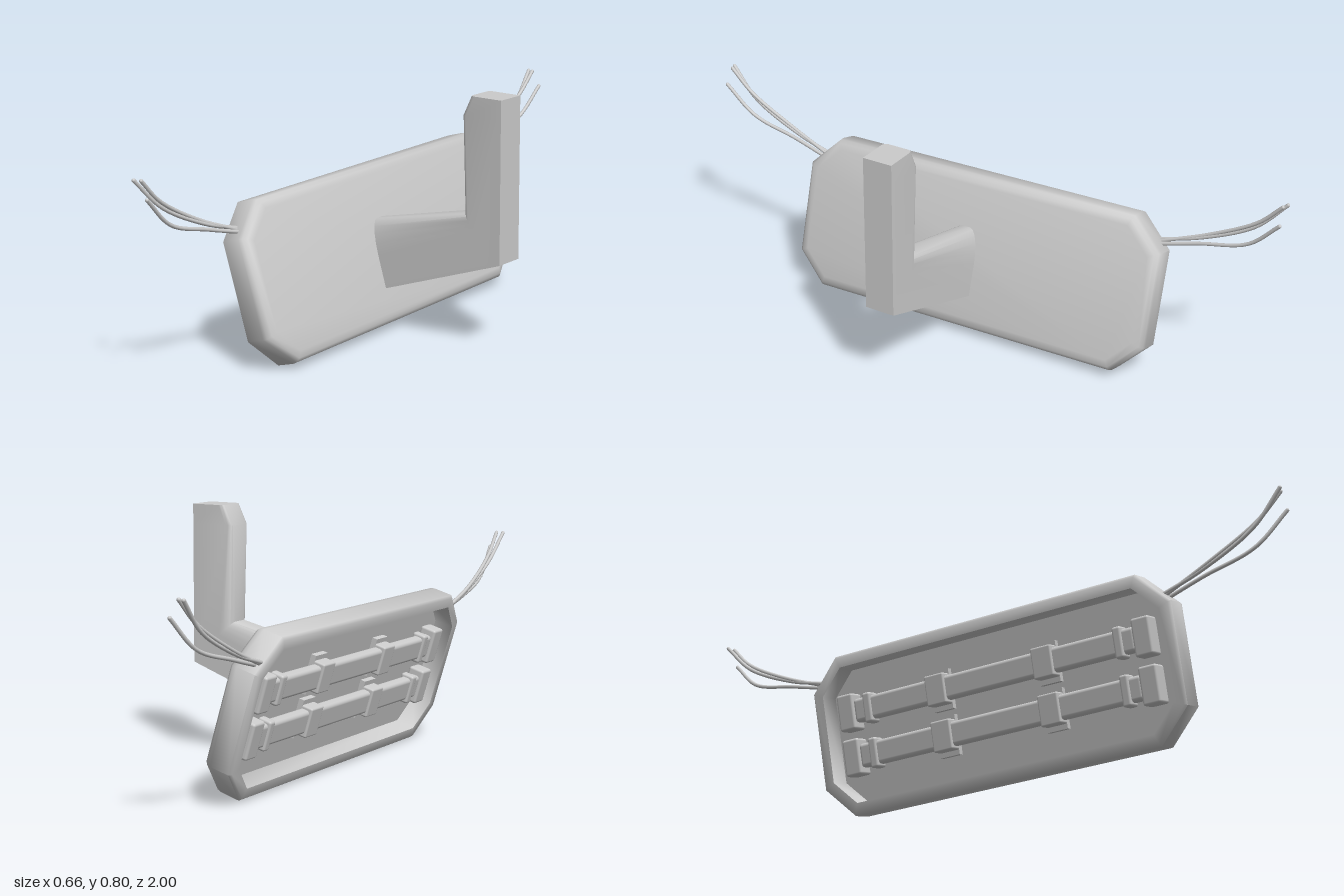
import * as THREE from 'three';
import { toCreasedNormals } from 'three/addons/utils/BufferGeometryUtils.js';
import { RoundedBoxGeometry } from 'three/addons/geometries/RoundedBoxGeometry.js';

const material = new THREE.MeshStandardMaterial({ color: 0xcccccc });

function part(name, geometry, parent, x = 0, y = 0, z = 0) {
  const mesh = new THREE.Mesh(geometry, material);
  mesh.name = name;
  mesh.position.set(x, y, z);
  parent.add(mesh);
  return mesh;
}

// Skin a list of equal-length rings of points and close both ends.
function loft(rings, crease) {
  const n = rings[0].length;
  const index = [];
  for (let k = 0; k < rings.length - 1; k++) {
    for (let i = 0; i < n; i++) {
      const j = (i + 1) % n;
      const a = k * n + i, b = k * n + j;
      index.push(a, b, b + n, a, b + n, a + n);
    }
  }
  const last = (rings.length - 1) * n;
  for (let i = 1; i < n - 1; i++) {
    index.push(0, i + 1, i, last, last + i, last + i + 1);
  }
  const geometry = new THREE.BufferGeometry().setFromPoints(rings.flat());
  geometry.setIndex(index);
  return toCreasedNormals(geometry, crease);
}

// Long octagon, shrunk by an inset, at a given depth.
function octagon(inset, depth) {
  const a = 0.635 - inset, v = 0.253 - inset, c = 0.1 - 0.586 * inset;
  return [
    [-a + c, -v], [a - c, -v], [a, -v + c], [a, v - c],
    [a - c, v], [-a + c, v], [-a, v - c], [-a, -v + c],
  ].map(([x, y]) => new THREE.Vector3(x, y, depth));
}

// Arm section: flat outer side, inner side rounded from fraction c inward.
function armSection({ outer, inner, c, end }) {
  const half = 0.049, zMid = 0.024, steps = 5;
  const side = [[0, 1]];
  for (let i = 0; i <= steps; i++) {
    const t = (i / steps) * Math.PI / 2;
    side.push([c + (1 - c) * Math.sin(t), end + (1 - end) * Math.cos(t)]);
  }
  const outline = [...side.map(([s, w]) => [s, -w]), ...side.reverse()];
  return outline.map(([s, w]) => new THREE.Vector3(
    outer[0] + (inner[0] - outer[0]) * s,
    outer[1] + (inner[1] - outer[1]) * s,
    zMid + w * half));
}

export function createModel() {
  const model = new THREE.Group();
  model.name = 'wallLamp';

  // Tilted lamp panel; inside "face", x runs along its length and z points out.
  const panel = new THREE.Group();
  panel.name = 'lampPanel';
  panel.position.set(-0.195, 0.265, 0);
  panel.rotation.set(0.006, 0.024, 0.288);
  model.add(panel);
  const face = new THREE.Group();
  face.name = 'panelFace';
  face.rotation.y = -Math.PI / 2;
  panel.add(face);

  // Housing: rounded back, flat rim and recessed floor.
  part('housing', loft([
    octagon(0.035, -0.05), octagon(0.014, -0.045), octagon(0.003, -0.034),
    octagon(0, -0.02), octagon(0, 0.042), octagon(0.008, 0.05),
    octagon(0.038, 0.05), octagon(0.042, -0.012),
  ], 0.9), face);

  // Two light bars, each with end sockets, caps and holding clips.
  for (const [row, v] of [['upper', 0.073], ['lower', -0.07]]) {
    part(row + 'Bar', new RoundedBoxGeometry(1.0, 0.075, 0.036, 3, 0.012), face, 0, v, 0.016);
    for (const s of [-1, 1]) {
      part(row + 'EndSocket', new RoundedBoxGeometry(0.06, 0.115, 0.055, 2, 0.008), face, s * 0.525, v, 0.014);
      part(row + 'EndCollar', new RoundedBoxGeometry(0.03, 0.095, 0.046, 2, 0.008), face, s * 0.445, v, 0.017);
      part(row + 'Clip', new RoundedBoxGeometry(0.07, 0.095, 0.05, 2, 0.006), face, s * 0.19, v, 0.016);
      // Clip foot on the floor of the housing
      part(row + 'ClipFoot', new THREE.BoxGeometry(0.07, 0.125, 0.02), face, s * 0.19, v, -0.005);
    }
  }

  // Bent bracket: sloping arm, elbow and upright post with a cut top corner.
  part('bracketArm', loft([
    { outer: [-0.12, 0.14], inner: [-0.185, 0.353], c: 0.48, end: 0.3 },
    { outer: [0.332, 0.298], inner: [0.19, 0.435], c: 0.68, end: 0.5 },
    { outer: [0.332, 0.74], inner: [0.187, 0.74], c: 0.85, end: 0.7 },
    { outer: [0.332, 0.803], inner: [0.218, 0.803], c: 0.85, end: 0.7 },
  ].map(armSection), 0.6), model);

  // Three loose wires from each upper end of the panel.
  const wires = [
    [[-0.240, 0.435, 0.6], [-0.243, 0.475, 0.73], [-0.246, 0.56, 0.9], [-0.256, 0.655, 0.993]],
    [[-0.236, 0.430, 0.6], [-0.246, 0.490, 0.75], [-0.240, 0.58, 0.91], [-0.235, 0.655, 0.985]],
    [[-0.225, 0.425, 0.6], [-0.232, 0.460, 0.73], [-0.222, 0.51, 0.89], [-0.209, 0.605, 0.99]],
  ];
  for (const s of [-1, 1]) {
    for (const path of wires) {
      const shift = s < 0 ? -0.055 : 0;
      const curve = new THREE.CatmullRomCurve3(
        path.map(([x, y, z]) => new THREE.Vector3(x + shift, y, s * z)));
      part('wire', new THREE.TubeGeometry(curve, 20, 0.006, 8), model);
      const tip = curve.getPoint(1);
      part('wireTip', new THREE.SphereGeometry(0.006, 8, 6), model, tip.x, tip.y, tip.z);
    }
  }
  return model;
}
